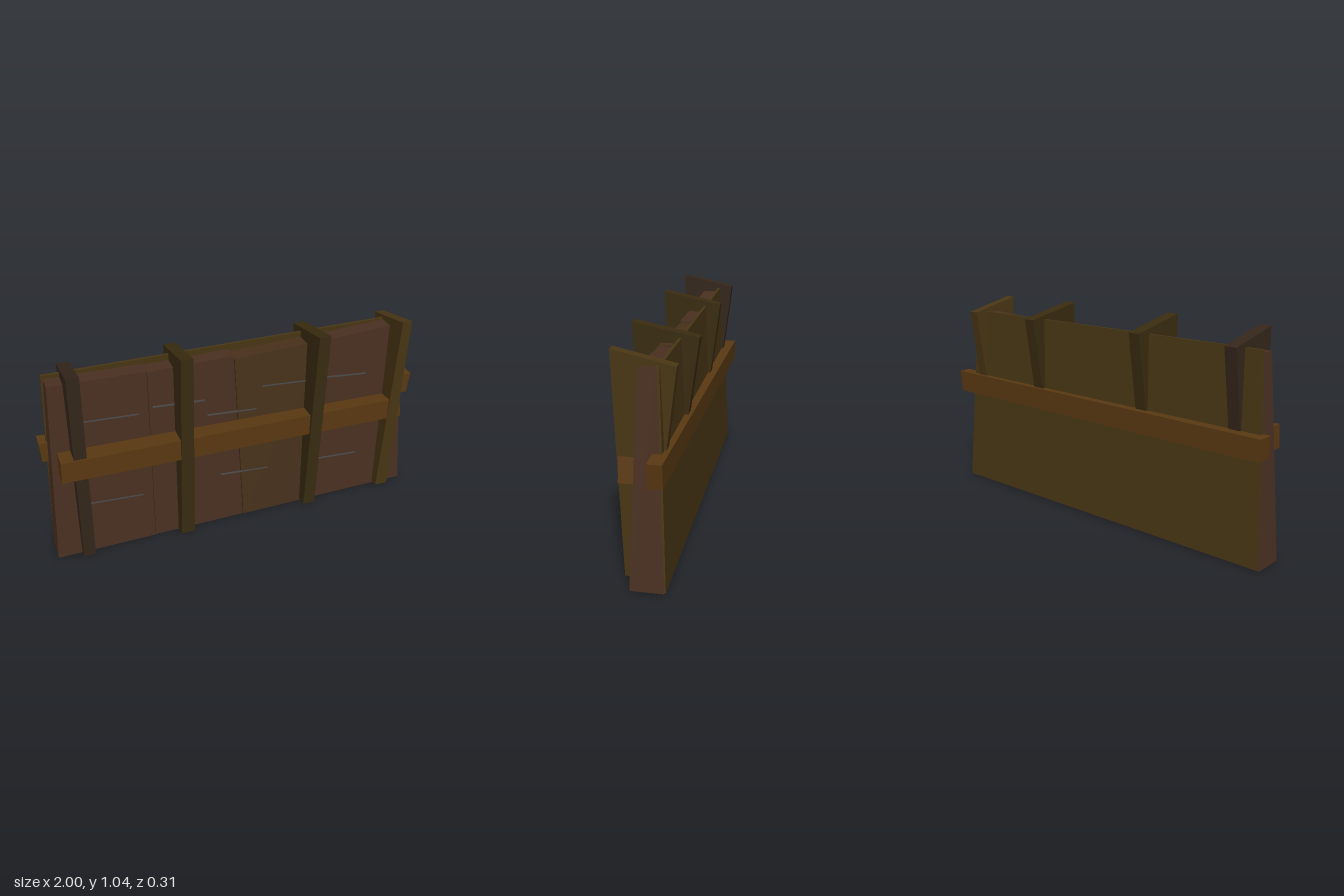
import * as THREE from 'three';

const OLIVE = 0x4a3715, DARK_OLIVE = 0x3a2c10, BROWN = 0x4a3021, RAIL = 0x5a3912, DARK = 0x35271b;

// Six-sided timber: rule(i, j, k) gives the corner for right/top/front flags of 0 or 1.
function timber(name, color, rule) {
  const box = new THREE.BoxGeometry(1, 1, 1).toNonIndexed();
  const p = box.attributes.position;
  for (let n = 0; n < p.count; n++) {
    p.setXYZ(n, ...rule(+(p.getX(n) > 0), +(p.getY(n) > 0), +(p.getZ(n) > 0)));
  }
  box.computeVertexNormals();
  const mesh = new THREE.Mesh(box, new THREE.MeshStandardMaterial({ color, flatShading: true }));
  mesh.name = name;
  return mesh;
}

const lerp = THREE.MathUtils.lerp;
const frontZ = y => lerp(0.052, 0.02, y / 0.96);
const backZ = y => lerp(-0.1, -0.06, y / 0.96);

export function createModel() {
  const model = new THREE.Group();
  model.name = 'woodenBarricade';

  // Thin board closing the back
  model.add(timber('backBoard', OLIVE, (i, j, k) => [
    j ? [-0.945, 0.865][i] : [-0.998, 0.938][i],
    j ? [0.978, 0.97][i] : 0.006,
    j ? [-0.073, -0.06][k] : [-0.108, -0.1][k],
  ]));

  // Upright planks: bottom x pair, top x pair, top y pair, color, front offset
  const planks = [
    [-1, -0.496, -0.935, -0.475, 0.96, 0.95, BROWN, 0],
    [-0.493, -0.011, -0.472, -0.045, 0.944, 0.948, BROWN, -0.003],
    [-0.008, 0.383, -0.042, 0.45, 0.934, 0.948, 0x48311b, 0],
    [0.386, 0.938, 0.453, 0.86, 0.945, 0.966, BROWN, -0.002],
  ];
  const wall = new THREE.Group();
  wall.name = 'plankWall';
  for (const [b0, b1, t0, t1, y0, y1, color, dz] of planks) {
    wall.add(timber('plank', color, (i, j, k) => {
      const y = j ? [y0, y1][i] : 0;
      return [j ? [t0, t1][i] : [b0, b1][i], y, k ? frontZ(y) + dz : backZ(y)];
    }));
  }
  model.add(wall);

  // Tapered posts, widening toward the top and leaning out of the back
  const posts = [
    // bottom x pair, top x pair, top y, back z, front z, bottom front z, color
    [-0.88, -0.82, -0.86, -0.80, 1.045, -0.14, 0.135, 0.1, DARK],
    [-0.37, -0.30, -0.345, -0.285, 1.045, -0.147, 0.147, 0.107, DARK_OLIVE],
    [0.32, 0.385, 0.34, 0.4, 1.037, -0.155, 0.152, 0.107, DARK_OLIVE],
    [0.77, 0.84, 0.80, 0.85, 1.03, -0.14, 0.133, 0.093, OLIVE],
  ];
  for (const [b0, b1, t0, t1, top, zb, zf, bottomZ, color] of posts) {
    model.add(timber('post', color, (i, j, k) => j
      ? [[t0, t1][i], k ? top : top - 0.06, k ? zf : zb]
      : [[b0, b1][i], 0.012, k ? bottomZ : -0.02]));
  }

  // Horizontal rails
  model.add(timber('frontRail', RAIL, (i, j, k) => [
    i ? (j ? 0.85 : 0.865) : (j ? -0.93 : -0.937),
    i ? [0.46, 0.573][j] : [0.503, 0.613][j],
    k ? [0.13, 0.108][i] : [0.03, 0.035][i],
  ]));
  model.add(timber('backRail', RAIL, (i, j, k) => [
    i ? (j ? 1 : 0.985) : (j ? -1 : -0.995),
    i ? [0.5, 0.612][j] : [0.512, 0.616][j],
    k ? [-0.065, -0.045][i] : [-0.143, -0.11][i],
  ]));

  // Fine cracks along the plank faces: x and y of each end
  const cracks = [
    [-0.81, 0.75, -0.53, 0.735], [-0.46, 0.757, -0.2, 0.74], [-0.19, 0.653, 0.07, 0.635],
    [0.1, 0.757, 0.34, 0.74], [0.42, 0.74, 0.68, 0.715], [-0.81, 0.288, -0.54, 0.27],
    [-0.49, 0.492, -0.25, 0.475], [-0.13, 0.285, 0.13, 0.267], [0.38, 0.253, 0.65, 0.235],
  ];
  for (const [x0, y0, x1, y1] of cracks) {
    model.add(timber('crack', 0x4c4a4a, (i, j, k) => {
      const y = [y0, y1][i] + (j - 0.5) * 0.007;
      return [[x0, x1][i], y, frontZ(y) + (k ? 0.002 : -0.006)];
    }));
  }
  return model;
}
